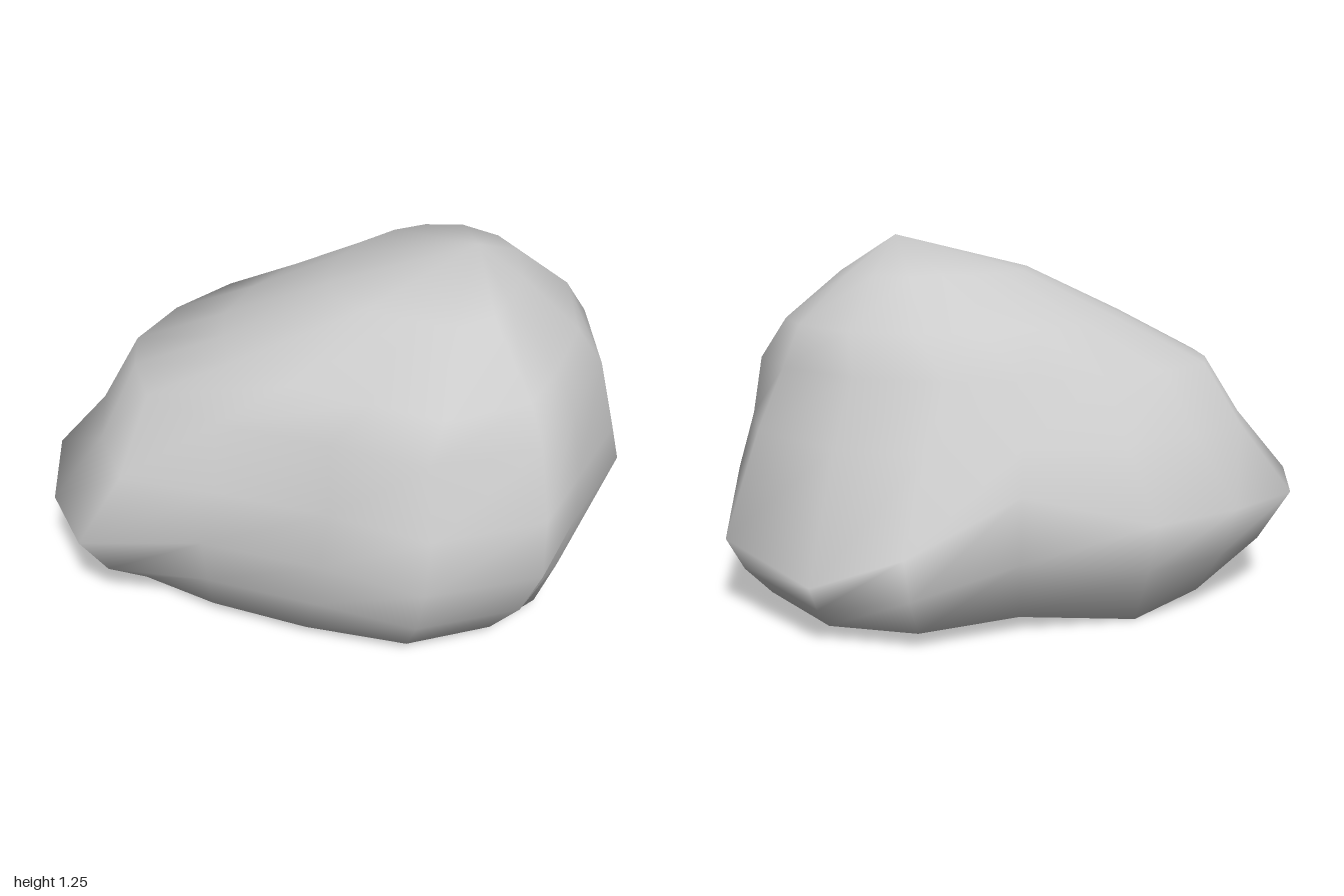
import * as THREE from 'three';

// Flat underside outline, [x, z]
const BASE = [
  [-0.73, 0.2], [-0.67, 0.42], [-0.61, 0.57], [-0.34, 0.66], [0, 0.72], [0.35, 0.74],
  [0.62, 0.61], [0.76, 0.45], [0.81, 0.1], [0.74, -0.25], [0.63, -0.58], [0.28, -0.81],
  [-0.02, -0.77], [-0.26, -0.5], [-0.58, -0.24], [-0.73, 0],
].map(([x, z]) => [x, 0.05, z]);

// Widest line around the boulder, [x, y, z]
const GIRTH = [
  [-1, 0.37, 0.25], [-0.91, 0.38, 0.58], [-0.74, 0.4, 0.82], [-0.34, 0.4, 0.75],
  [0.06, 0.4, 0.8], [0.42, 0.42, 0.9], [0.78, 0.4, 0.72], [0.87, 0.42, 0.43],
  [1, 0.46, 0.12], [0.95, 0.4, -0.26], [0.76, 0.25, -0.66], [0.3, 0.2, -0.9],
  [-0.02, 0.32, -0.87], [-0.3, 0.48, -0.58], [-0.69, 0.37, -0.36], [-0.88, 0.37, -0.06],
];

// Shoulder outline, [x, z]
const SHOULDER = [
  [-0.69, 0.2], [-0.65, 0.36], [-0.56, 0.53], [-0.3, 0.65], [0.08, 0.7], [0.4, 0.76],
  [0.74, 0.6], [0.83, 0.38], [0.91, 0.08], [0.84, -0.26], [0.65, -0.43], [0.32, -0.54],
  [0, -0.5], [-0.25, -0.39], [-0.46, -0.22], [-0.61, -0.02],
].map(([x, z]) => [x, 0.82, z]);

// Ring between two rings, with separate fractions for plan and height
const between = (a, b, plan, height) => a.map((p, i) =>
  p.map((v, k) => THREE.MathUtils.lerp(v, b[i][k], k === 1 ? height : plan)));

// Copy of a ring at height y, spanning x0..x1 and z0..z1
function resized(ring, y, x0, x1, z0, z1) {
  const fit = (k, lo, hi) => {
    const values = ring.map((p) => p[k]);
    const min = Math.min(...values), max = Math.max(...values);
    return values.map((v) => THREE.MathUtils.mapLinear(v, min, max, lo, hi));
  };
  const xs = fit(0, x0, x1), zs = fit(2, z0, z1);
  return xs.map((x, i) => [x, y, zs[i]]);
}

function boulderGeometry() {
  const n = BASE.length;
  const rim = BASE.map((p) => [...p]);
  rim[14][1] = 0; // small foot under the rim

  const rings = [
    BASE.map(([x, y, z]) => [x * 0.75, y, z * 0.75]),
    rim,
    between(BASE, GIRTH, 0.6, 0.45),
    GIRTH,
    resized(between(GIRTH, SHOULDER, 0.5, 0.5), 0.6, -0.81, 0.97, -0.66, 0.85),
    SHOULDER,
    resized(SHOULDER, 0.96, -0.37, 0.82, -0.45, 0.7),
    resized(SHOULDER, 1.13, -0.02, 0.62, -0.25, 0.44),
  ];

  const vertices = rings.flat();
  const base = vertices.push([0, 0.05, 0]) - 1;
  const crown = vertices.push([0.47, 1.25, 0.1]) - 1;
  const last = (rings.length - 1) * n;

  const index = [];
  for (let i = 0; i < n; i++) {
    const j = (i + 1) % n;
    index.push(base, j, i, last + i, last + j, crown);
    for (let r = 0; r < last; r += n) {
      index.push(r + i, r + j, r + n + j, r + i, r + n + j, r + n + i);
    }
  }

  const geometry = new THREE.BufferGeometry();
  geometry.setAttribute('position', new THREE.Float32BufferAttribute(vertices.flat(), 3));
  geometry.setIndex(index);
  geometry.computeVertexNormals();
  return geometry;
}

export function createModel() {
  const group = new THREE.Group();
  group.name = 'rock';
  const boulder = new THREE.Mesh(boulderGeometry(), new THREE.MeshStandardMaterial({ color: 0xcccccc }));
  boulder.name = 'boulder';
  group.add(boulder);
  return group;
}
